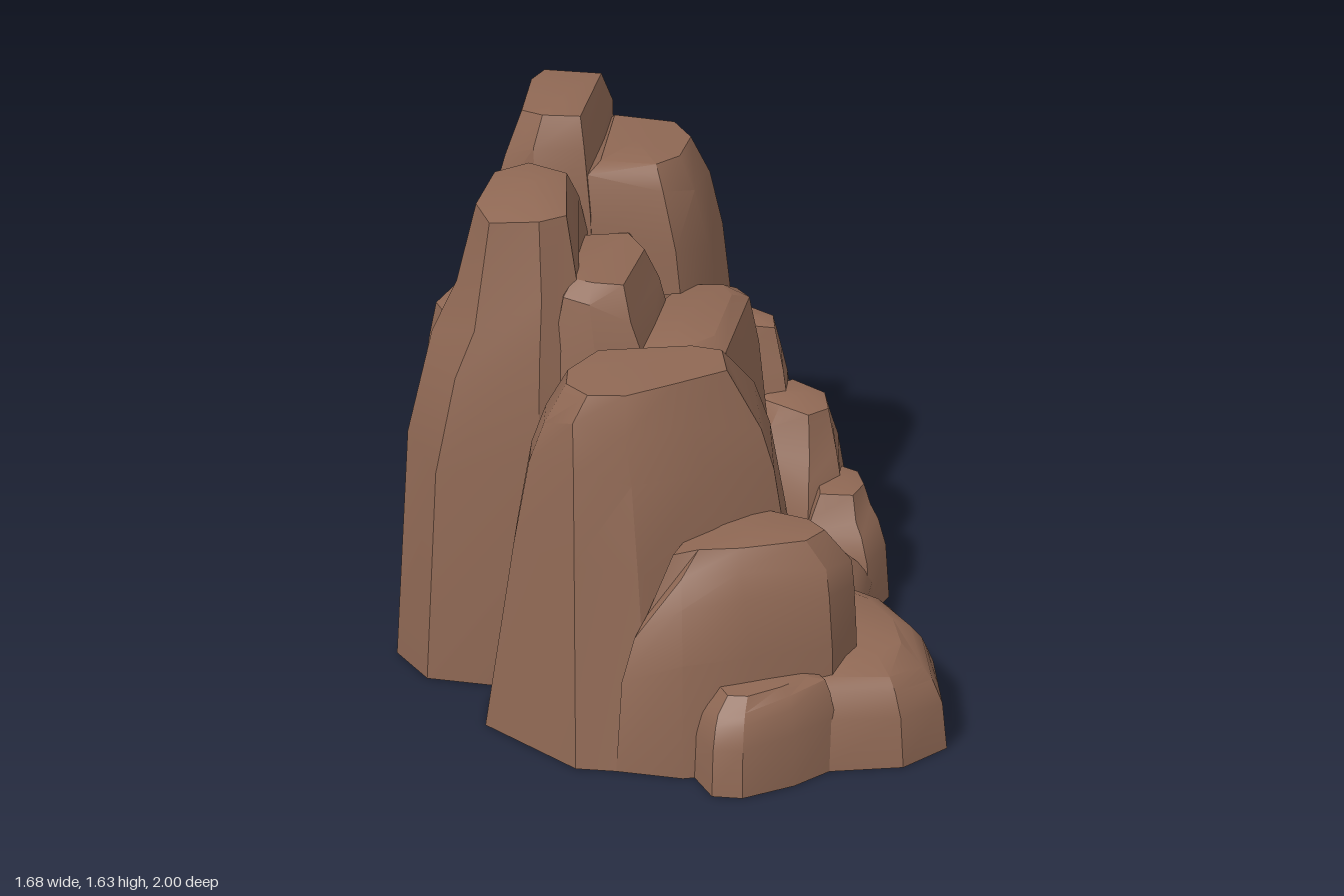
import * as THREE from 'three';
import { toCreasedNormals } from 'three/addons/utils/BufferGeometryUtils.js';

const stone = new THREE.MeshStandardMaterial({ color: 0x8f6854, side: THREE.DoubleSide });
stone.name = 'brown stone';

// One boulder, open below. Each corner is [baseX, baseZ, shoulderX, shoulderZ, shoulderY],
// listed counterclockwise seen from above; peak is the [x, y, z] of the crown centre.
// A larger taper makes the walls straighter, a smaller one makes them bulge.
function rock(name, taper, peak, ...corners) {
  const n = corners.length;
  const mix = THREE.MathUtils.lerp;
  const [px, py, pz] = peak;
  const wall = (height, t) => ([x, z, X, Z, Y]) => [mix(x, X, t), Y * height, mix(z, Z, t)];
  const rings = [
    wall(0, 0), // foot
    wall(0.6, taper), // belly
    wall(0.87, 0.5 + taper * 0.5), // upper wall
    wall(1, 1), // shoulder
    // crown, almost level with the peak
    ([x, z, X, Z, Y]) => [mix(X, px, 0.26), mix(Y, py, 0.85), mix(Z, pz, 0.26)],
  ];
  const points = rings.flatMap((ring) => corners.flatMap(ring));
  points.push(px, py, pz);
  const index = [];
  for (let i = 0; i < n; i++) {
    const j = (i + 1) % n;
    for (let r = 0; r < rings.length - 1; r++) {
      const a = r * n + i, b = r * n + j;
      index.push(a, b, b + n, a, b + n, a + n);
    }
    const top = (rings.length - 1) * n;
    index.push(top + i, top + j, rings.length * n);
  }
  const geometry = new THREE.BufferGeometry();
  geometry.setAttribute('position', new THREE.Float32BufferAttribute(points, 3));
  geometry.setIndex(index);
  const mesh = new THREE.Mesh(toCreasedNormals(geometry, 0.5), stone);
  mesh.name = name;
  return mesh;
}

// Copy of a boulder without the parts buried in the others, so the formation is one hollow shell.
function carve(mesh, others) {
  const up = new THREE.Vector3(0.0137, 1, 0.0071).normalize();
  const caster = new THREE.Raycaster();
  const vertex = (p, n) => {
    caster.set(p, up);
    const buried = others.some((o) => caster.intersectObject(o).length % 2 === 1);
    return { p, n, buried };
  };
  const middle = (a, b) => vertex(
    a.p.clone().lerp(b.p, 0.5), a.n.clone().lerp(b.n, 0.5).normalize());
  const positions = [], normals = [];
  const split = (a, b, c, depth) => {
    const count = a.buried + b.buried + c.buried;
    if (depth >= 2 && count === 3) return;
    if (depth === 4 || (depth >= 2 && count === 0)) {
      for (const v of [a, b, c]) {
        positions.push(...v.p);
        normals.push(...v.n);
      }
      return;
    }
    const ab = middle(a, b), bc = middle(b, c), ca = middle(c, a);
    split(a, ab, ca, depth + 1);
    split(ab, b, bc, depth + 1);
    split(ca, bc, c, depth + 1);
    split(ab, bc, ca, depth + 1);
  };
  const { position, normal } = mesh.geometry.attributes;
  const read = (i) => vertex(
    new THREE.Vector3().fromBufferAttribute(position, i),
    new THREE.Vector3().fromBufferAttribute(normal, i));
  for (let i = 0; i < position.count; i += 3) split(read(i), read(i + 1), read(i + 2), 0);
  const geometry = new THREE.BufferGeometry();
  geometry.setAttribute('position', new THREE.Float32BufferAttribute(positions, 3));
  geometry.setAttribute('normal', new THREE.Float32BufferAttribute(normals, 3));
  const carved = new THREE.Mesh(geometry, stone);
  carved.name = mesh.name;
  return carved;
}

export function createModel() {
  const rocks = [];
  const add = (...args) => rocks.push(rock(...args));

  // tall columns
  add('peakColumn', 0.18, [-0.4, 1.635, -0.27],
    [-0.45, -0.03, -0.48, -0.09, 1.53], [-0.28, -0.05, -0.33, -0.1, 1.53],
    [-0.3, -0.57, -0.3, -0.49, 1.5], [-0.6, -0.57, -0.53, -0.51, 1.45],
    [-0.69, -0.4, -0.57, -0.42, 1.45], [-0.69, -0.13, -0.57, -0.14, 1.48]);
  add('backColumn', 0.18, [-0.2, 1.48, -0.28],
    [-0.34, -0.04, -0.32, -0.1, 1.45], [0, -0.06, -0.1, -0.12, 1.4],
    [0.08, -0.22, -0.02, -0.22, 1.36], [0.09, -0.42, 0, -0.4, 1.33],
    [0.01, -0.56, -0.08, -0.5, 1.38], [-0.34, -0.57, -0.32, -0.51, 1.42]);
  add('leftColumn', 0.18, [-0.46, 1.51, 0.09],
    [-0.4, 0.4, -0.4, 0.31, 1.24], [-0.28, 0.35, -0.3, 0.24, 1.24],
    [-0.26, -0.12, -0.34, -0.06, 1.4], [-0.5, -0.2, -0.5, -0.12, 1.42],
    [-0.74, -0.14, -0.63, -0.07, 1.3], [-0.84, 0.22, -0.67, 0.18, 1.22],
    [-0.73, 0.37, -0.6, 0.3, 1.12]);
  add('leftSpur', 0.18, [-0.7, 1.08, 0],
    [-0.78, 0.2, -0.72, 0.13, 0.98], [-0.6, 0.1, -0.62, 0.06, 1.05],
    [-0.62, -0.18, -0.64, -0.13, 1], [-0.74, -0.13, -0.72, -0.1, 1],
    [-0.81, 0.04, -0.77, 0.03, 0.96]);

  // middle steps
  add('innerColumn', 0.18, [-0.25, 1.285, 0.09],
    [-0.2, 0.4, -0.26, 0.3, 1.23], [0, 0.34, -0.14, 0.28, 1.17],
    [0, -0.02, -0.1, -0.04, 1.16], [-0.2, -0.2, -0.18, -0.14, 1.24],
    [-0.42, -0.12, -0.38, -0.08, 1.26], [-0.4, 0.35, -0.34, 0.28, 1.24]);
  add('centreBlock', 0.4, [-0.02, 1.09, 0.06],
    [0, 0.4, -0.02, 0.36, 1.05], [0.21, 0.2, 0.13, 0.2, 1.05],
    [0.25, -0.12, 0.15, -0.16, 1.05], [0.15, -0.36, 0.1, -0.25, 1.03],
    [-0.2, -0.36, -0.2, -0.2, 1.05], [-0.3, 0.36, -0.25, 0.33, 1.05]);
  add('frontBlock', 0.48, [-0.12, 1.13, 0.45],
    [-0.22, 0.88, -0.25, 0.73, 1.06], [0, 0.88, -0.1, 0.69, 1],
    [0.25, 0.68, 0.08, 0.55, 0.98], [0.42, 0.48, 0.26, 0.38, 0.9],
    [0.4, 0.25, 0.22, 0.24, 0.98], [0.1, 0.16, 0.1, 0.25, 1.06],
    [-0.3, 0.28, -0.26, 0.34, 1.06], [-0.53, 0.46, -0.36, 0.5, 1],
    [-0.52, 0.64, -0.35, 0.62, 1]);

  // front right boulders
  add('frontRightBoulder', 0.18, [0.25, 0.69, 0.6],
    [-0.1, 0.88, -0.02, 0.8, 0.48], [0.1, 0.9, 0.08, 0.79, 0.6],
    [0.3, 0.83, 0.25, 0.76, 0.62], [0.52, 0.71, 0.49, 0.65, 0.59],
    [0.57, 0.56, 0.55, 0.54, 0.57], [0.5, 0.38, 0.47, 0.43, 0.5],
    [0.25, 0.3, 0.25, 0.38, 0.55], [-0.05, 0.5, 0.05, 0.55, 0.57]);
  add('lowSideBoulder', 0.18, [0.5, 0.3, 0.4],
    [0.5, 0.8, 0.48, 0.72, 0.27], [0.73, 0.74, 0.68, 0.67, 0.26],
    [0.84, 0.6, 0.76, 0.55, 0.24], [0.78, 0.36, 0.7, 0.36, 0.27],
    [0.65, 0.15, 0.58, 0.2, 0.27], [0.5, 0.05, 0.46, 0.13, 0.27],
    [0.2, 0.15, 0.2, 0.2, 0.3]);
  add('lowFrontBoulder', 0.18, [0.3, 0.295, 0.8],
    [0.2, 1, 0.21, 0.94, 0.24], [0.29, 1, 0.29, 0.94, 0.25],
    [0.43, 0.9, 0.41, 0.85, 0.27], [0.54, 0.77, 0.5, 0.75, 0.28],
    [0.4, 0.6, 0.4, 0.62, 0.28], [0.11, 0.85, 0.15, 0.83, 0.23]);

  // back boulders
  add('backBoulder', 0.5, [-0.2, 0.6, -0.7],
    [0.1, -0.5, 0.05, -0.5, 0.6], [0.1, -0.7, 0.02, -0.66, 0.57],
    [-0.02, -0.85, -0.07, -0.8, 0.52], [-0.13, -1, -0.14, -0.94, 0.47],
    [-0.24, -1, -0.24, -0.94, 0.46], [-0.4, -0.93, -0.36, -0.84, 0.47],
    [-0.63, -0.6, -0.52, -0.6, 0.5], [-0.6, -0.5, -0.5, -0.5, 0.5]);
  add('backShoulder', 0.4, [0.1, 0.78, -0.57],
    [0.1, -0.4, 0.08, -0.5, 0.7], [0.25, -0.44, 0.2, -0.52, 0.63],
    [0.25, -0.6, 0.18, -0.61, 0.67], [0.08, -0.74, 0.06, -0.68, 0.68],
    [-0.1, -0.5, -0.03, -0.55, 0.7]);
  add('backStep', 0.35, [0.27, 0.57, -0.5],
    [0.15, -0.3, 0.18, -0.4, 0.5], [0.31, -0.24, 0.3, -0.36, 0.42],
    [0.41, -0.35, 0.37, -0.43, 0.42], [0.4, -0.55, 0.34, -0.54, 0.48],
    [0.22, -0.66, 0.2, -0.62, 0.52], [0.1, -0.5, 0.1, -0.5, 0.55]);
  add('smallSideBoulder', 0.18, [0.4, 0.355, -0.39],
    [0.5, -0.2, 0.45, -0.27, 0.27], [0.54, -0.33, 0.48, -0.37, 0.28],
    [0.47, -0.52, 0.44, -0.48, 0.26], [0.38, -0.6, 0.37, -0.54, 0.2],
    [0.25, -0.5, 0.28, -0.48, 0.3], [0.3, -0.2, 0.32, -0.26, 0.28]);
  add('sideLedge', 0.18, [0.26, 0.24, -0.06],
    [0.52, 0.1, 0.47, 0.08, 0.2], [0.51, -0.25, 0.47, -0.22, 0.16],
    [0.15, -0.35, 0.15, -0.3, 0.22], [0.1, 0.15, 0.1, 0.12, 0.24]);

  const group = new THREE.Group();
  group.name = 'rockFormation';
  for (const r of rocks) group.add(carve(r, rocks.filter((o) => o !== r)));
  return group;
}
